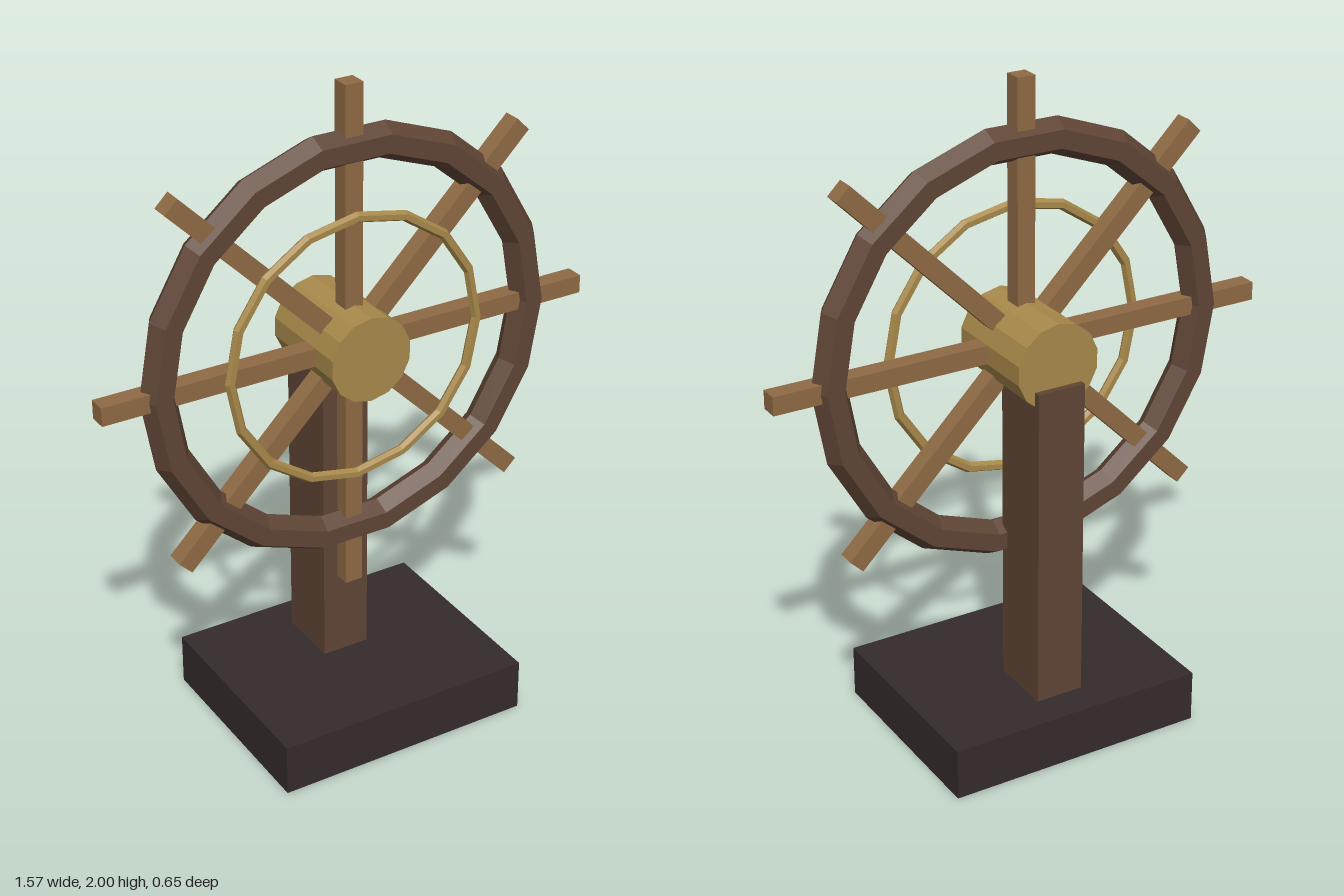
import * as THREE from 'three';

export function createModel() {
  const model = new THREE.Group();
  model.name = 'shipWheel';

  const material = (name, color) => {
    const m = new THREE.MeshStandardMaterial({ color, flatShading: true });
    m.name = name;
    return m;
  };
  const baseWood = material('blackened wood', 0x352b2d);
  const darkWood = material('dark wood', 0x5f4535);
  const spokeWood = material('light wood', 0x8f6b45);
  const brass = material('brass', 0xa8894a);

  const add = (parent, name, geometry, mat, x = 0, y = 0, z = 0) => {
    const mesh = new THREE.Mesh(geometry, mat);
    mesh.name = name;
    mesh.position.set(x, y, z);
    parent.add(mesh);
    return mesh;
  };

  // Stand
  add(model, 'base', new THREE.BoxGeometry(0.81, 0.16, 0.65), baseWood, 0, 0.08, 0);
  add(model, 'post', new THREE.BoxGeometry(0.15, 0.995, 0.2), darkWood, 0, 0.6575, -0.12);

  // Wheel, centred on its axle
  const wheel = new THREE.Group();
  wheel.name = 'wheel';
  wheel.position.y = 1.215;
  model.add(wheel);

  add(wheel, 'rim', new THREE.TorusGeometry(0.606, 0.054, 6, 18), darkWood);
  add(wheel, 'brassRing', new THREE.TorusGeometry(0.404, 0.016, 6, 16), brass, 0, 0, 0.04);

  const hub = new THREE.CylinderGeometry(0.13, 0.13, 0.32, 14).rotateX(Math.PI / 2);
  add(wheel, 'hub', hub, brass, 0, 0, -0.04);

  // Four full-width bars make eight spokes with handles
  const spoke = new THREE.BoxGeometry(0.056, 1.57, 0.056);
  for (let i = 0; i < 4; i++) {
    add(wheel, 'spokePair' + (i + 1), spoke, spokeWood).rotation.z = (i * Math.PI) / 4;
  }

  return model;
}
